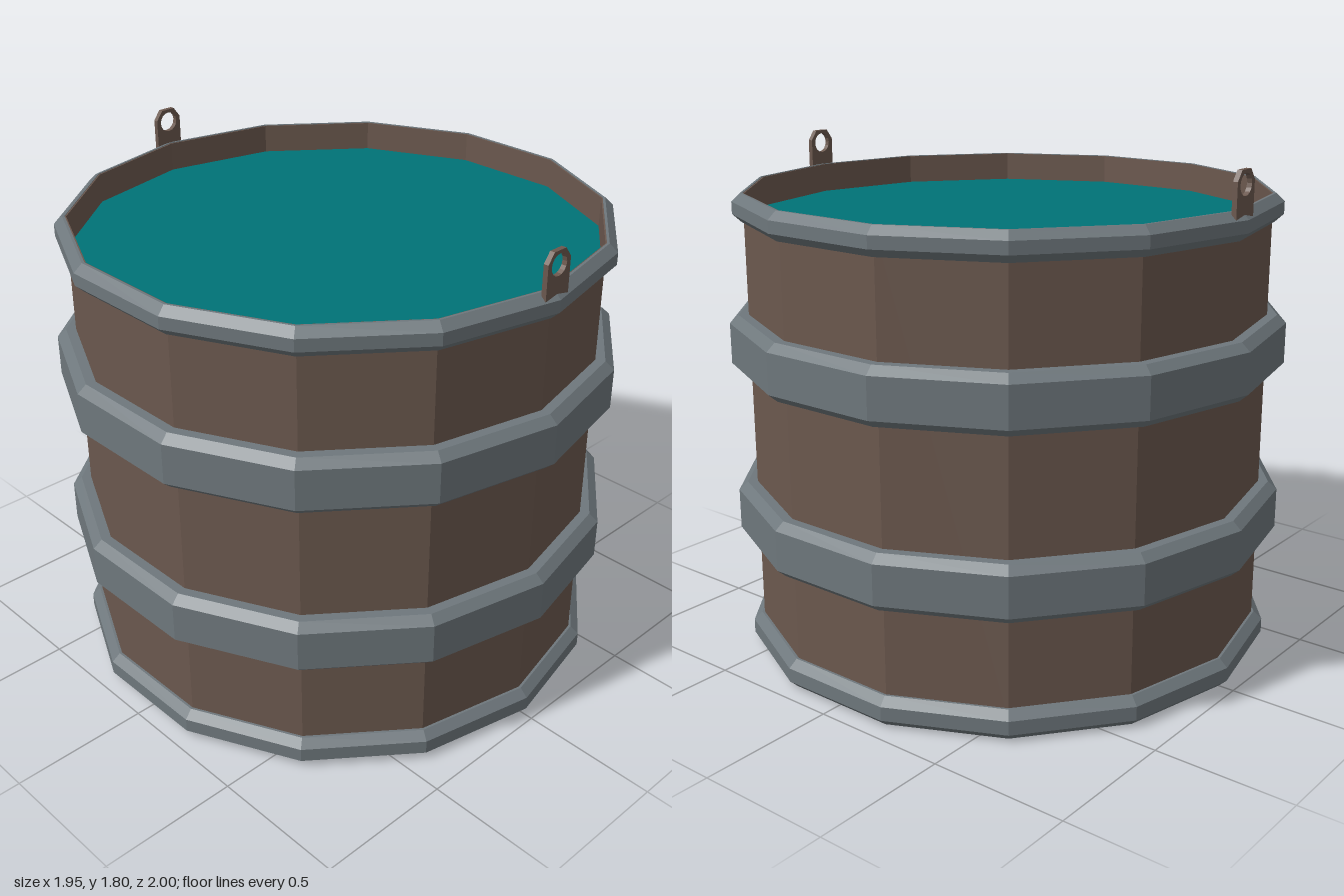
import * as THREE from 'three';

const SIDES = 14;
const BODY_R = 0.933;
const INNER_R = 0.928;
const BASE_Y = 0.06;
const LIQUID_Y = 1.565;

const material = (color) => new THREE.MeshStandardMaterial({ color, flatShading: true });

function addMesh(parent, name, geometry, mat) {
  const mesh = new THREE.Mesh(geometry, mat);
  mesh.name = name;
  parent.add(mesh);
  return mesh;
}

// Faceted ring from a profile of [radius, height], with a corner at the front
const ring = (profile) =>
  new THREE.LatheGeometry(profile.map(([r, y]) => new THREE.Vector2(r, y)), SIDES);

// Closed hoop with bevelled outer edges
const hoop = (y0, y1, edgeR, outerR, bevel = 0.028) => ring([
  [BODY_R, y0], [edgeR, y0], [outerR, y0 + bevel],
  [outerR, y1 - bevel], [edgeR, y1], [BODY_R, y1], [BODY_R, y0],
]);

// Flat disc with a corner at the front
const disc = (radius, y, facing) => new THREE.CircleGeometry(radius, SIDES, Math.PI / 2)
  .rotateX(-facing * Math.PI / 2).translate(0, y, 0);

// Flat lug with clipped top corners and a round eye
function lugGeometry() {
  const w = 0.054, depth = 0.018;
  const shape = new THREE.Shape([
    [-w, 1.64], [w, 1.64], [w, 1.768], [0.028, 1.803], [-0.028, 1.803], [-w, 1.768],
  ].map(([x, y]) => new THREE.Vector2(x, y)));
  const eye = new THREE.Path();
  eye.absarc(0, 1.755, 0.037, 0, Math.PI * 2, true);
  shape.holes.push(eye);
  const geometry = new THREE.ExtrudeGeometry(shape, { depth, bevelEnabled: false, curveSegments: 8 });
  return geometry.translate(0, 0, -depth / 2);
}

export function createModel() {
  const group = new THREE.Group();
  group.name = 'barrel';
  const brown = material(0x6b584e);
  const steel = material(0x6e777c);
  const teal = material(0x007377);

  // Thin barrel wall, open above the liquid
  addMesh(group, 'wall', ring([
    [BODY_R, BASE_Y], [BODY_R, 1.67], [INNER_R, 1.67], [INNER_R, LIQUID_Y],
  ]), brown);

  // Base recessed inside the bottom rim, and the liquid surface
  addMesh(group, 'base', disc(BODY_R, BASE_Y, -1), brown);
  addMesh(group, 'liquid', disc(INNER_R, LIQUID_Y, 1), teal);

  // Rims at both ends and two wider hoops between them
  addMesh(group, 'bottomRim', hoop(0, 0.106, 0.942, 0.972), steel);
  addMesh(group, 'lowerHoop', hoop(0.425, 0.625, 0.968, 1), steel);
  addMesh(group, 'upperHoop', hoop(1.045, 1.245, 0.968, 1), steel);
  addMesh(group, 'topRim', hoop(1.573, 1.672, 0.942, 0.972), steel);

  // Handle lugs at front and back
  for (const [name, z] of [['frontLug', 0.947], ['backLug', -0.947]]) {
    addMesh(group, name, lugGeometry(), brown).position.z = z;
  }
  return group;
}
